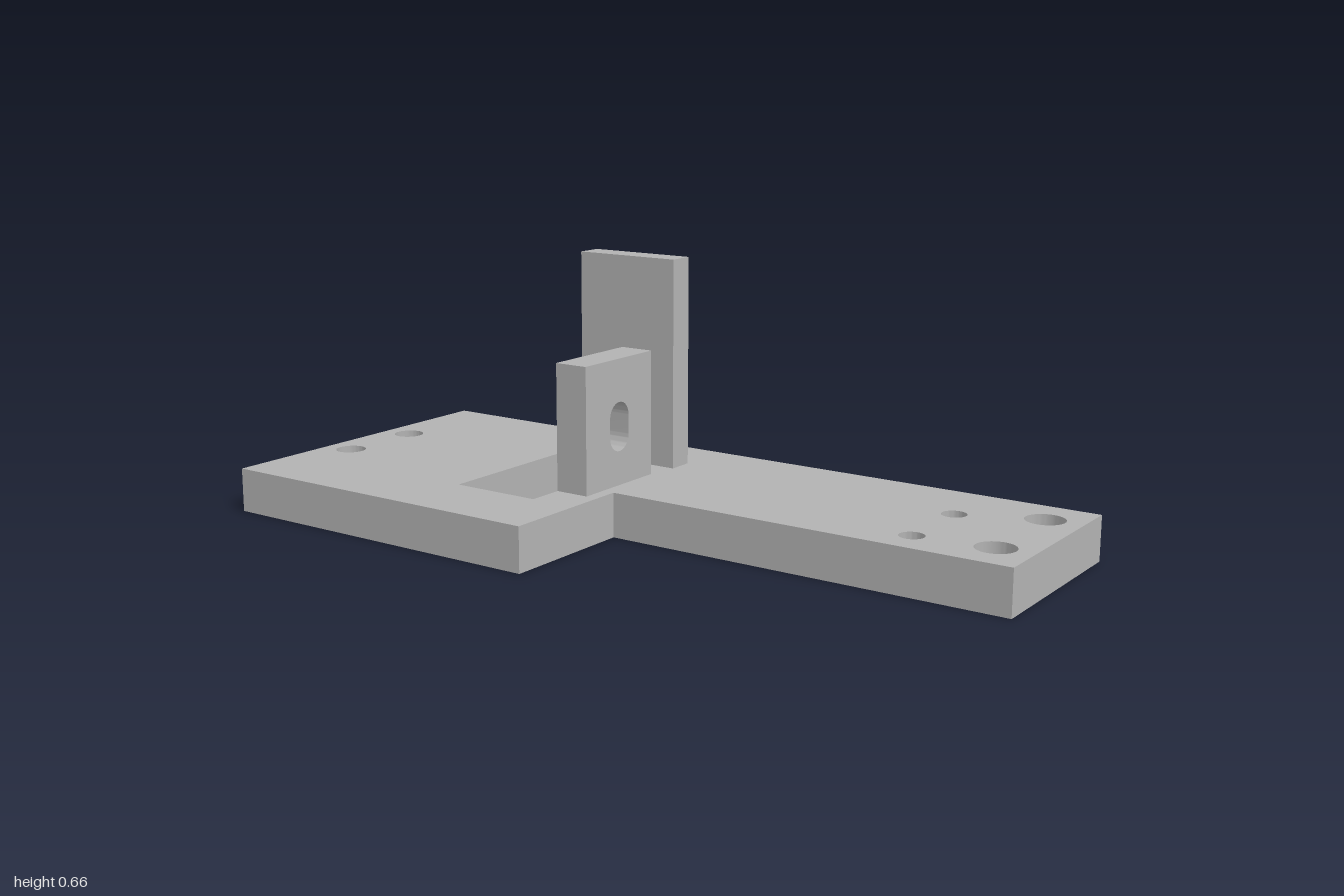
import * as THREE from 'three';
import { toCreasedNormals } from 'three/addons/utils/BufferGeometryUtils.js';

const BASE_H = 0.115;

function polygon(points, Type = THREE.Shape) {
  return new Type(points.map(([x, y]) => new THREE.Vector2(x, y)));
}

function circle(x, y, r, Type = THREE.Path) {
  const c = new Type();
  c.absarc(x, y, r, 0, Math.PI * 2, false);
  return c;
}

function extrude(shape, depth) {
  const g = new THREE.ExtrudeGeometry(shape, { depth, bevelEnabled: false, curveSegments: 24 });
  return toCreasedNormals(g, 0.6);
}

export function createModel() {
  const group = new THREE.Group();
  const grey = new THREE.MeshStandardMaterial({ color: 0xb2b2b2 });
  grey.name = 'grey';

  function add(name, geometry) {
    const mesh = new THREE.Mesh(geometry, grey);
    mesh.name = name;
    group.add(mesh);
    return mesh;
  }

  function box(name, [x0, x1], [y0, y1], [z0, z1]) {
    add(name, new THREE.BoxGeometry(x1 - x0, y1 - y0, z1 - z0))
      .position.set((x0 + x1) / 2, (y0 + y1) / 2, (z0 + z1) / 2);
  }

  // Base plate, drawn in plan with shape y = -z
  const plan = polygon([
    [-0.437, 1], [-0.437, 0.062], [-0.07, 0.062],
    [-0.07, -1], [0.437, -1], [0.437, 1],
  ]);
  plan.holes.push(polygon([[-0.232, 0.428], [0.217, 0.428], [0.217, 0.185], [-0.232, 0.185]], THREE.Path));

  // Front screw holes: [x, z, radius]
  for (const [x, z, r] of [
    [0.022, 0.712, 0.031], [0.241, 0.712, 0.031],
    [0.045, 0.907, 0.049], [0.321, 0.907, 0.049],
  ]) plan.holes.push(circle(x, -z, r));

  // Rear holes are counterbored from below; a thin collar narrows each at the top
  const collarH = 0.025;
  for (const x of [-0.116, 0.114]) {
    plan.holes.push(circle(x, 0.923, 0.077));
    const ring = circle(x, 0.923, 0.077, THREE.Shape);
    ring.holes.push(circle(x, 0.923, 0.04));
    add('rearHoleCollar', extrude(ring, collarH).rotateX(-Math.PI / 2))
      .position.y = BASE_H - collarH;
  }
  add('basePlate', extrude(plan, BASE_H).rotateX(-Math.PI / 2));

  // Upright plate with a rounded vertical slot
  const upright = polygon([[-0.137, BASE_H], [0.137, BASE_H], [0.137, 0.439], [-0.137, 0.439]]);
  const r = 0.039;
  const slot = new THREE.Path();
  slot.absarc(0, 0.329 - r, r, 0, Math.PI, false);
  slot.absarc(0, 0.203 + r, r, Math.PI, Math.PI * 2, false);
  slot.closePath();
  upright.holes.push(slot);
  add('slottedUpright', extrude(upright, 0.091)).position.z = -0.185;

  // Tall side wall and its buttress
  box('sideWall', [0.217, 0.286], [BASE_H, 0.664], [-0.378, -0.081]);
  box('sideButtress', [0.286, 0.332], [BASE_H, 0.417], [-0.309, -0.151]);

  return group;
}
